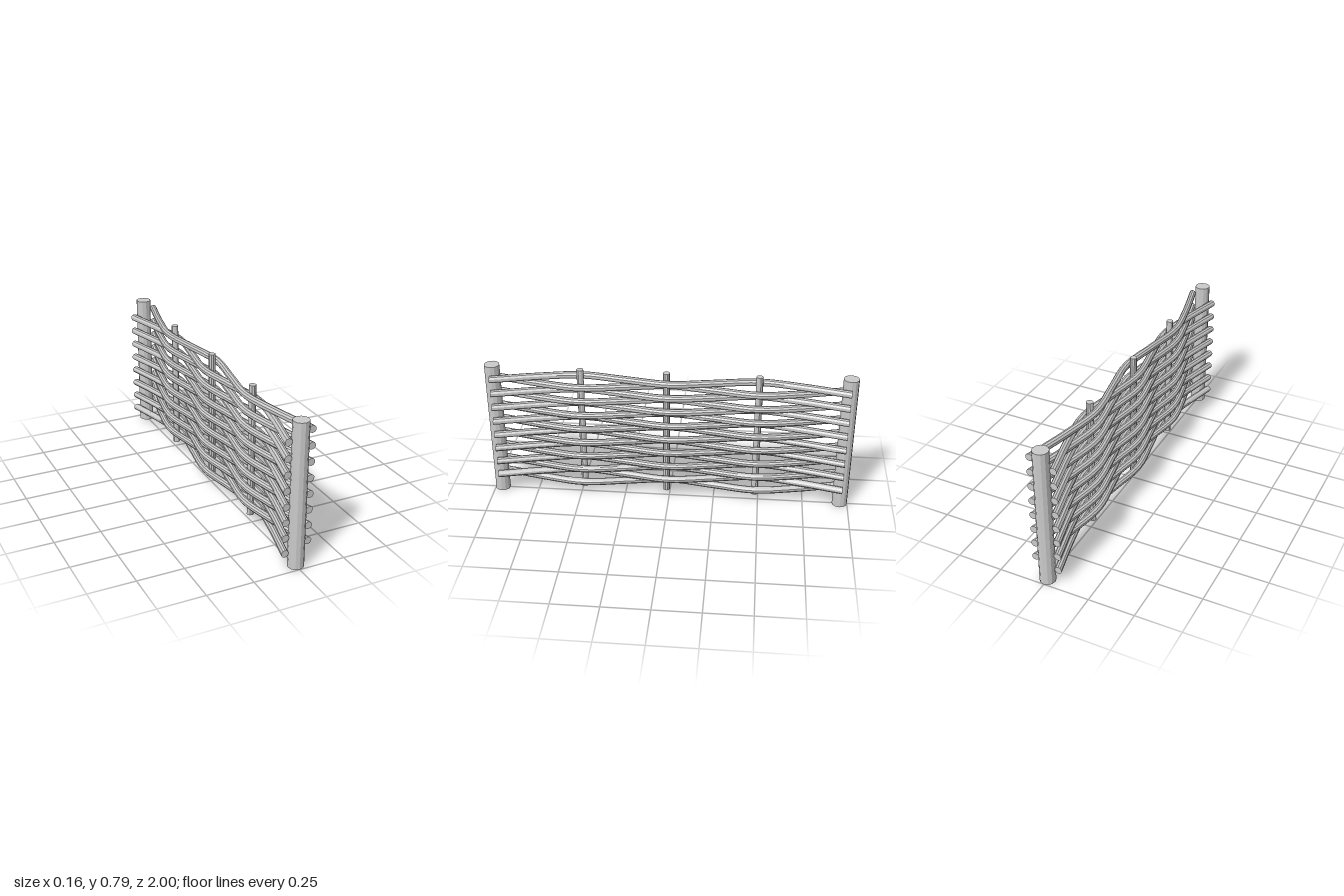
import * as THREE from 'three';

const material = new THREE.MeshStandardMaterial({ color: 0xcccccc, flatShading: true });

// Upright round timber between two heights
function upright(name, radius, y0, y1, z, sides) {
  const mesh = new THREE.Mesh(new THREE.CylinderGeometry(radius, radius, y1 - y0, sides), material);
  mesh.name = name;
  mesh.position.set(0, (y0 + y1) / 2, z);
  return mesh;
}

// Weave path seen from above: outside the posts, alternating sides at each stake
const weave = new THREE.CatmullRomCurve3([
  [0.063, 0.96], [0, 0.7], [-0.035, 0.48], [0, 0.24], [0.035, 0],
  [0, -0.24], [-0.035, -0.48], [0, -0.7], [0.063, -0.96],
].map(([x, z]) => new THREE.Vector3(x, 0, z)));

// Rod whose cross-sections slide along the weave path, ends cut square to z
function rodGeometry(side) {
  const steps = 40;
  const geometry = new THREE.CylinderGeometry(0.02, 0.02, 1, 10, steps);
  geometry.rotateX(Math.PI / 2);
  const pos = geometry.attributes.position;
  for (let i = 0; i < pos.count; i++) {
    const p = weave.getPoint(Math.min(1, Math.max(0, 0.5 - pos.getZ(i))));
    pos.setX(i, pos.getX(i) + side * p.x);
    pos.setZ(i, p.z);
  }
  geometry.computeVertexNormals();
  return geometry;
}

export function createModel() {
  const group = new THREE.Group();
  group.name = 'wovenFence';

  // End posts
  group.add(upright('frontPost', 0.042, 0, 0.785, 0.958, 12));
  group.add(upright('backPost', 0.042, 0, 0.785, -0.958, 12));

  // Thin stakes
  for (const z of [0.48, 0.015, -0.48]) group.add(upright('stake', 0.019, 0.04, 0.775, z, 10));

  // Woven rods, each layer starting on the opposite side
  const geometries = [rodGeometry(-1), rodGeometry(1)];
  for (let i = 0; i < 16; i++) {
    const rod = new THREE.Mesh(geometries[i % 2], material);
    rod.name = 'wovenRod';
    rod.position.y = 0.083 + i * 0.0428;
    group.add(rod);
  }
  return group;
}
